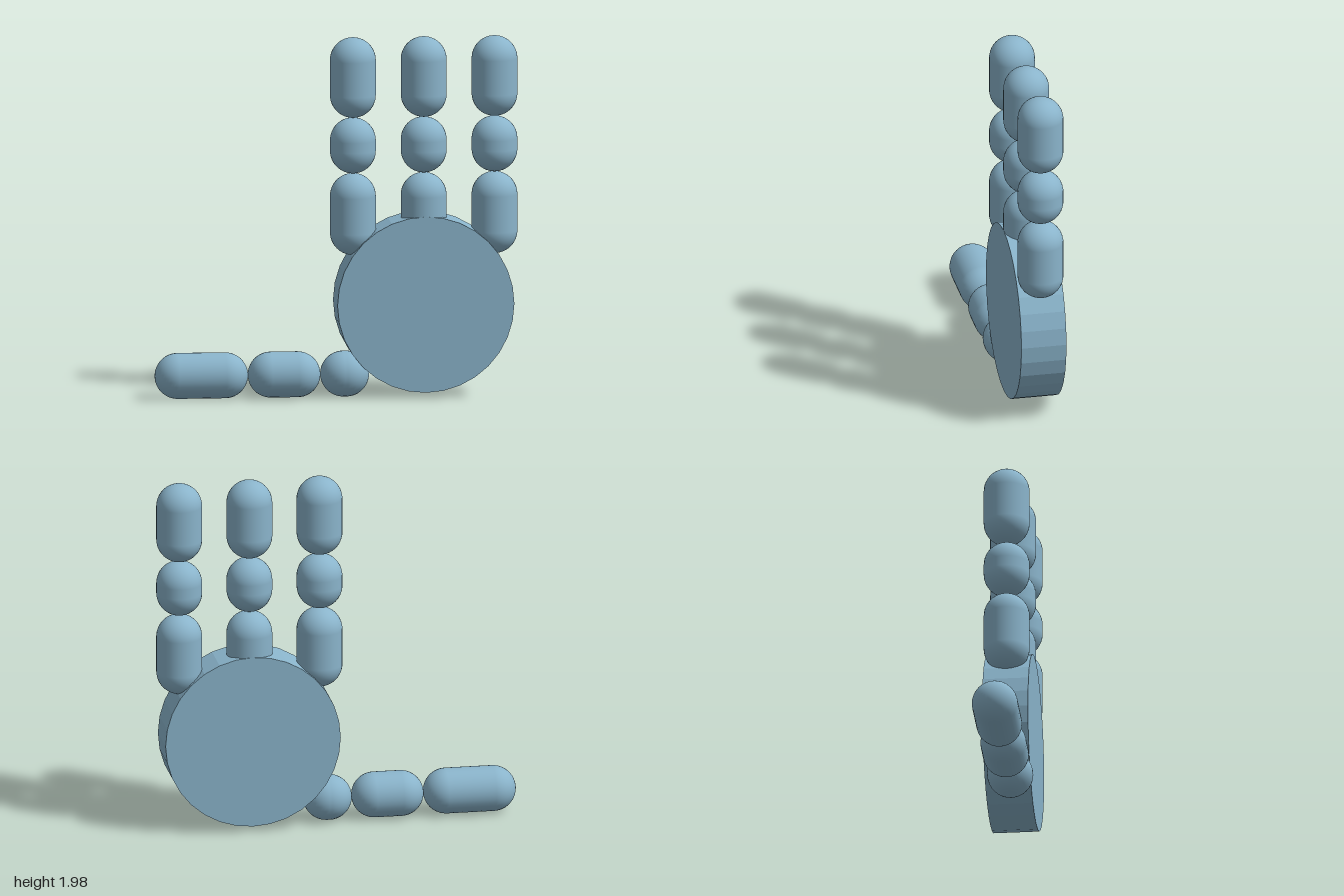
import * as THREE from 'three';

export function createModel() {
  const model = new THREE.Group();
  const color = 0x8ab4cb;
  const smooth = new THREE.MeshStandardMaterial({ color });
  const faceted = new THREE.MeshStandardMaterial({ color, flatShading: true });
  const R = 0.126; // finger radius

  // Capsule segment spanning start..end along its local y axis
  function segment(name, start, end) {
    const geometry = new THREE.CapsuleGeometry(R, end - start - 2 * R, 12, 32);
    const mesh = new THREE.Mesh(geometry, smooth);
    mesh.name = name;
    mesh.position.y = (start + end) / 2;
    return mesh;
  }

  // Chain of touching segments, from joint to joint
  function digit(name, joints) {
    const group = new THREE.Group();
    group.name = name;
    ['Base', 'Middle', 'Tip'].forEach((part, i) =>
      group.add(segment(name + part, joints[i], joints[i + 1])));
    model.add(group);
    return group;
  }

  // Palm: thick faceted disc facing front
  const palm = new THREE.Mesh(new THREE.CylinderGeometry(0.487, 0.487, 0.252, 32), faceted);
  palm.name = 'palm';
  palm.rotation.x = Math.PI / 2;
  palm.position.set(0.484, 0.515, -0.012);
  model.add(palm);

  // Three upright fingers
  [['innerFinger', 0.094], ['middleFinger', 0.484], ['outerFinger', 0.874]].forEach(([name, x]) =>
    digit(name, [0.78, 1.232, 1.54, 1.984]).position.set(x, 0, -0.012));

  // Thumb lying sideways, pointing to -x
  const thumb = digit('thumb', [-0.18, 0.088, 0.487, 1]);
  thumb.rotation.z = Math.PI / 2;
  thumb.position.set(0, R, 0.012);

  return model;
}
